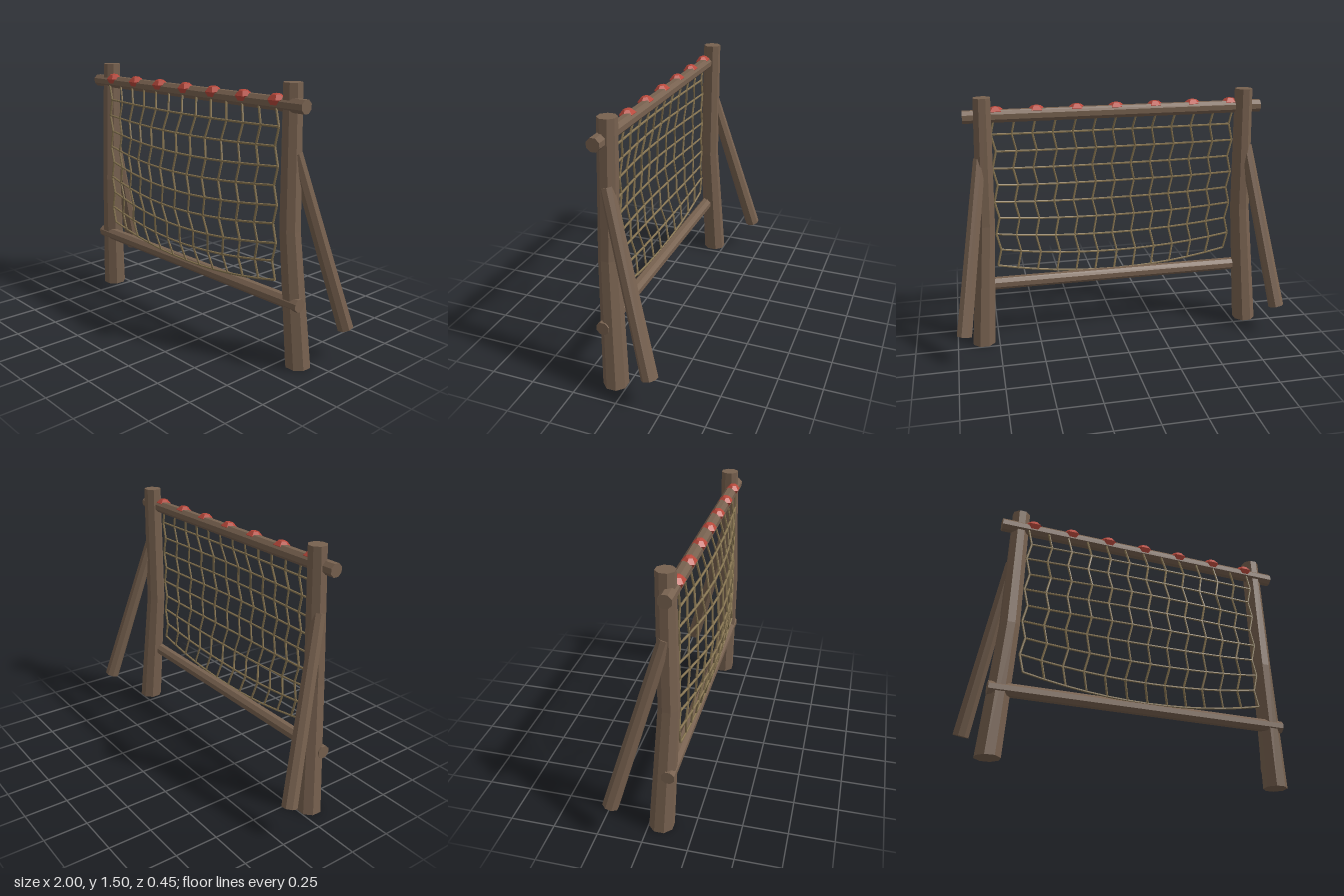
import * as THREE from 'three';
import { mergeGeometries } from 'three/addons/utils/BufferGeometryUtils.js';

const V = (x, y, z) => new THREE.Vector3(x, y, z);
const UP = V(0, 1, 0);

// Straight tapered log from a to b
function logGeometry(a, b, ra, rb, sides, capped = true) {
  const dir = b.clone().sub(a);
  const g = new THREE.CylinderGeometry(rb, ra, dir.length(), sides, 1, !capped);
  g.rotateY(Math.PI / sides);
  g.applyQuaternion(new THREE.Quaternion().setFromUnitVectors(UP, dir.normalize()));
  const mid = a.clone().add(b).multiplyScalar(0.5);
  return g.translate(mid.x, mid.y, mid.z);
}

// Upright log with a slight bend: rings are [x, y, z, radius] from bottom to top
function bentLogGeometry(rings, sides) {
  const g = new THREE.CylinderGeometry(1, 1, rings.length - 1, sides, rings.length - 1);
  g.rotateY(Math.PI / sides);
  const p = g.attributes.position;
  for (let i = 0; i < p.count; i++) {
    const [x, y, z, r] = rings[Math.round(p.getY(i) + (rings.length - 1) / 2)];
    p.setXYZ(i, x + p.getX(i) * r, y, z + p.getZ(i) * r);
  }
  g.computeVertexNormals();
  return g;
}

// Net node at column position u (-1..1) and row
const ROWS = 9, COLS = 12, HALF = 0.717;
function netPoint(col, row) {
  const u = (col / COLS) * 2 - 1, v = row / ROWS;
  const zigzag = row % 2 ? 0.012 : -0.012;
  const sag = 0.08 * v * (1 - u * u);
  const bulge = 0.08 * Math.sin(Math.PI * v) * Math.cos(u * Math.PI / 2);
  return V(u * HALF + zigzag, 1.38 - 0.91 * v - sag, 0.14 + bulge);
}

export function createModel() {
  const wood = new THREE.MeshStandardMaterial({ color: 0x77614f, flatShading: true });
  wood.name = 'wood';
  const rope = new THREE.MeshStandardMaterial({ color: 0x857350, flatShading: true });
  rope.name = 'rope';
  const red = new THREE.MeshStandardMaterial({ color: 0xb8483b, flatShading: true });
  red.name = 'red';

  const model = new THREE.Group();
  model.name = 'climbingNet';
  const add = (name, geometry, material) => {
    const mesh = new THREE.Mesh(geometry, material);
    mesh.name = name;
    model.add(mesh);
    return mesh;
  };

  // Posts and the braces leaning on them from behind
  for (const [side, s] of [['left', 1], ['right', -1]]) {
    add(side + 'Post', bentLogGeometry([
      [s * 0.843, 0, 0.069, 0.071],
      [s * 0.79, 0.75, 0.103, 0.058],
      [s * 0.77, 1.5, 0.09, 0.052],
    ], 8), wood);
    add(side + 'Brace', logGeometry(
      V(s * 0.956, 0.18, -0.18), V(s * 0.803, 1.15, 0.092), 0.046, 0.037, 8), wood);
  }

  // Crossbars
  for (const [name, y] of [['topBar', 1.39], ['bottomBar', 0.365]]) {
    add(name, logGeometry(V(-0.883, y, 0.115), V(0.883, y, 0.115), 0.038, 0.038, 8), wood);
  }

  // Hand holds along the top bar
  const holdProfile = [[0, -0.03], [0.038, -0.03], [0.057, 0.002], [0.028, 0.026], [0, 0.032]]
    .map(([r, y]) => new THREE.Vector2(r, y));
  const holdGeometry = new THREE.LatheGeometry(holdProfile, 6);
  holdGeometry.rotateY(Math.PI / 2).scale(1, 1, 0.75);
  for (let i = 0; i < 7; i++) {
    const hold = add('handHold' + (i + 1), holdGeometry, red);
    hold.position.set((i - 3) * 0.232, 1.412, 0.127);
    hold.rotation.x = 0.12;
  }

  // Rope net
  const across = [], down = [];
  const strand = (a, b) => logGeometry(a, b, 0.0065, 0.0065, 6);
  for (let row = 0; row <= ROWS; row++) {
    for (let col = 0; col <= COLS; col++) {
      const p = netPoint(col, row);
      if (row > 0 && col < COLS) across.push(strand(p, netPoint(col + 1, row)));
      if (row < ROWS) down.push(strand(p, netPoint(col, row + 1)));
    }
  }
  add('horizontalRopes', mergeGeometries(across), rope);
  add('verticalRopes', mergeGeometries(down), rope);

  return model;
}
